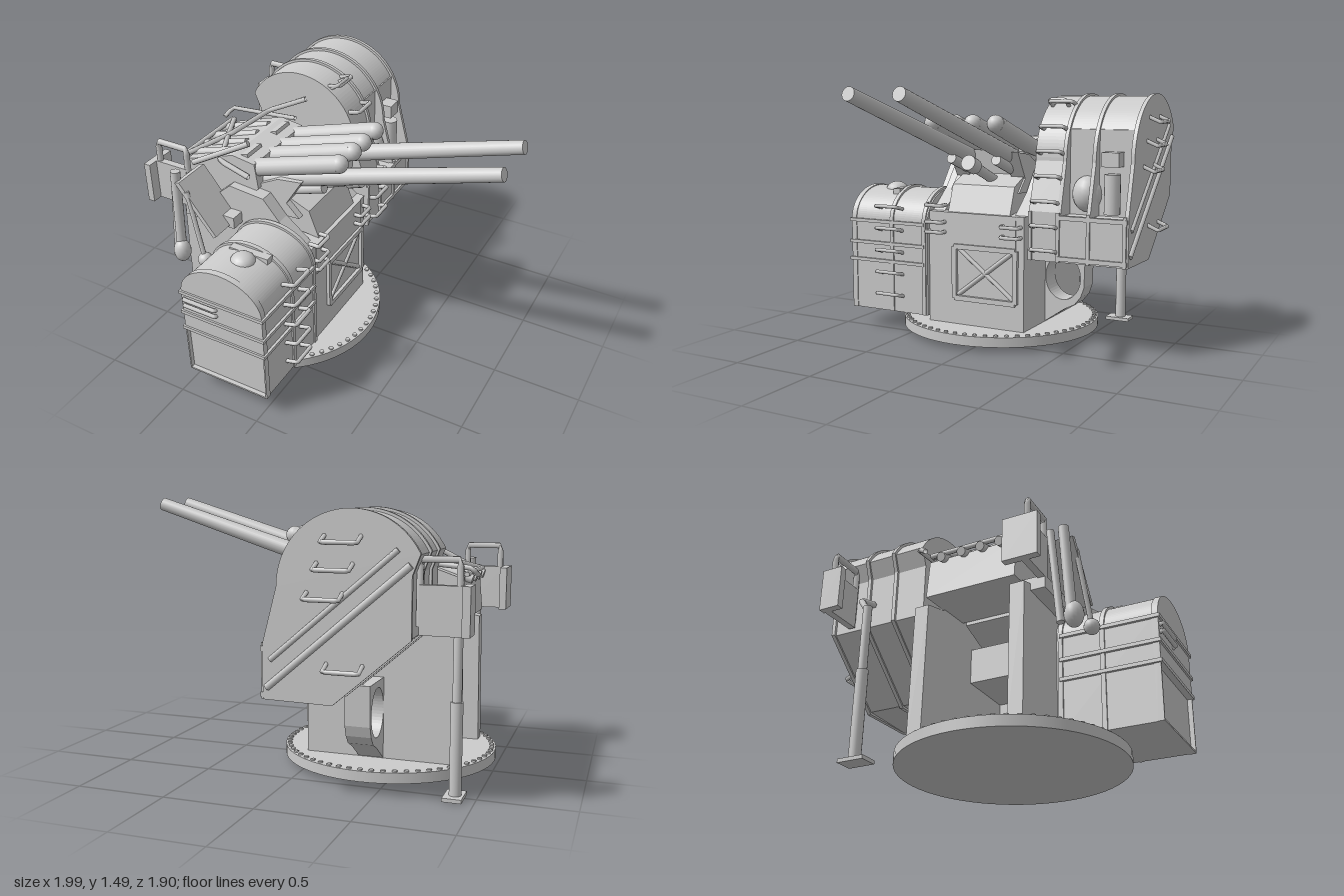
import * as THREE from 'three';

const mat = new THREE.MeshStandardMaterial({ color: 0xcccccc, side: THREE.DoubleSide });
const V = (x, y, z) => new THREE.Vector3(x, y, z);

export function createModel() {
  const root = new THREE.Group();
  const add = (name, geo) => {
    const m = new THREE.Mesh(geo, mat);
    m.name = name;
    root.add(m);
    return m;
  };
  // box given by its minimum and maximum corners
  const box = (name, x0, x1, y0, y1, z0, z1) => {
    const m = add(name, new THREE.BoxGeometry(x1 - x0, y1 - y0, z1 - z0));
    m.position.set((x0 + x1) / 2, (y0 + y1) / 2, (z0 + z1) / 2);
    return m;
  };
  // rod from point a to point b
  const rod = (name, a, b, ra, rb = ra, seg = 16) => {
    const d = b.clone().sub(a);
    const m = add(name, new THREE.CylinderGeometry(rb, ra, d.length(), seg));
    m.position.copy(a).addScaledVector(d, 0.5);
    m.quaternion.setFromUnitVectors(V(0, 1, 0), d.normalize());
    return m;
  };
  const ball = (name, x, y, z, r, sy = 1) => {
    const m = add(name, new THREE.SphereGeometry(r, 16, 12));
    m.position.set(x, y, z);
    m.scale.y = sy;
    return m;
  };
  // bent bar through a list of points
  const bar = (name, pts, r = 0.012) => {
    const path = new THREE.CurvePath();
    for (let i = 1; i < pts.length; i++) path.add(new THREE.LineCurve3(pts[i - 1], pts[i]));
    return add(name, new THREE.TubeGeometry(path, (pts.length - 1) * 6, r, 6));
  };
  // U-shaped grip: a and b on the surface, out is the stand-off
  const grip = (name, a, b, out) => bar(name, [a, a.clone().add(out), b.clone().add(out), b]);
  // outline in x,y extruded from z0 to z1
  const slab = (name, shape, z0, z1) => {
    const m = add(name, new THREE.ExtrudeGeometry(shape, { depth: z1 - z0, bevelEnabled: false, curveSegments: 24 }));
    m.position.z = z0;
    return m;
  };
  const poly = (p) => new THREE.Shape(p.map(([x, y]) => new THREE.Vector2(x, y)));

  // turntable with bolts
  rod('baseDisc', V(-0.385, 0.03, 0.09), V(-0.385, 0.088, 0.09), 0.607, 0.607, 64);
  for (let i = 0; i < 60; i++) {
    const a = i / 60 * Math.PI * 2, x = -0.385 + 0.585 * Math.cos(a), z = 0.09 + 0.585 * Math.sin(a);
    rod('baseBolt', V(x, 0.08, z), V(x, 0.097, z), 0.014, 0.014, 6);
  }

  // pedestal: two cheeks and a front plate, open at the rear
  const cheek = [[-0.86, 0.08], [0, 0.08], [0, 0.72], [-0.2, 0.88], [-0.3, 1.0], [-0.52, 1.02], [-0.7, 0.86], [-0.85, 0.82]];
  for (const z of [-0.25, 0.3]) slab('pedestalCheek', poly(cheek), z, z + 0.08);
  box('pedestalFront', -0.06, 0, 0.08, 0.76, -0.25, 0.38);
  box('pedestalCap', -0.4, 0.005, 0.56, 0.76, -0.2, 0.33);
  for (const z of [-0.2, 0.2]) box('panelPost', 0, 0.02, 0.25, 0.56, z - 0.015, z + 0.015);
  for (const y of [0.25, 0.56]) box('panelRail', 0, 0.02, y - 0.015, y + 0.015, -0.2, 0.2);
  for (const s of [-1, 1]) rod('panelBrace', V(0, 0.27, -0.18 * s), V(0, 0.55, 0.18 * s), 0.014, 0.014, 6);
  for (const [z, y] of [[-0.17, 0.64], [-0.17, 0.7], [0.33, 0.64], [0.33, 0.7], [0.33, 0.8]])
    grip('shoulderGrip', V(-0.01, y, z - 0.06), V(-0.01, y, z + 0.05), V(0.06, 0, 0));
  box('trunnionPost', -0.42, -0.32, 0.8, 1.07, -0.24, -0.2);

  // bracket with a round opening, carrying the large cabin
  const br = poly([[0.25, 0.09], [0.38, 0.18], [0.44, 0.21], [0.48, 0.26], [0.5, 0.32], [0.505, 0.54], [0.24, 0.54]]);
  const hole = new THREE.Path();
  hole.absellipse(0.365, 0.37, 0.112, 0.135, 0, Math.PI * 2, false);
  br.holes.push(hole);
  const bracket = slab('cabinBracket', br, 0, 0.14);
  bracket.rotation.y = Math.PI / 2;
  bracket.position.set(-0.44, 0, 0);

  // gun cradle and breech
  slab('cradle', poly([[-0.5, 0.86], [-0.25, 0.78], [-0.02, 0.76], [-0.08, 0.92], [-0.22, 0.98], [-0.2, 1.12], [-0.5, 1.05]]), -0.15, 0.26);
  slab('breechHousing', poly([[-0.86, 0.86], [-0.5, 0.88], [-0.36, 1.02], [-0.38, 1.17], [-0.52, 1.19], [-0.84, 1.08]]), -0.18, 0.33);
  for (const z of [-0.13, 0.24]) slab('cradleArm', poly([[-0.4, 1.02], [-0.28, 0.87], [-0.12, 0.88], [-0.2, 0.96], [-0.1, 1.12], [-0.25, 1.1]]), z - 0.03, z + 0.06);
  for (const z of [-0.07, 0.225]) {
    rod('barrel', V(-0.45, 1.01, z), V(0.988, 1.457, z), 0.053, 0.037, 24);
    rod('bufferTube', V(-0.32, 0.97, z), V(0, 1.08, z), 0.03);
    const block = box('breechBlock', -0.7, -0.42, 1.02, 1.16, z - 0.07, z + 0.07);
    block.rotation.z = 0.3;
  }
  for (const z of [-0.13, 0.015, 0.13, 0.275]) {
    rod('recoilCylinder', V(-0.5, 1.09, z), V(0.12, 1.29, z), 0.052, 0.05, 20);
    ball('recoilCylinderEnd', 0.12, 1.29, z, 0.05);
  }
  // sight tube
  rod('sightTube', V(-0.3, 0.9, 0.04), V(0.1, 1.06, 0.04), 0.03);
  rod('sightHead', V(0.05, 1.04, 0.04), V(0.13, 1.07, 0.04), 0.045);
  // loading trays and bars over the breech
  for (const z of [-0.09, 0.03, 0.14, 0.25]) rod('loadingTray', V(-0.88, 1.07, z), V(-0.55, 1.17, z), 0.025);
  for (const x of [-0.86, -0.74, -0.64]) rod('trayCrossbar', V(x, 1.1, -0.16), V(x, 1.1, 0.3), 0.014, 0.014, 8);
  bar('upperBar', [V(-0.85, 1.1, 0.3), V(-0.7, 1.16, 0.08), V(-0.62, 1.2, -0.2), V(-0.4, 1.3, -0.26)], 0.016);
  bar('lowerBar', [V(-0.85, 1.1, -0.16), V(-0.72, 1.15, 0.08), V(-0.6, 1.14, 0.34), V(-0.4, 1.1, 0.36)], 0.016);
  bar('sideRail', [V(-0.92, 1.1, -0.16), V(-0.9, 1.14, -0.22), V(-0.45, 1.18, -0.22)], 0.014);

  // large cabin with arched roof; open cuts the window recess out of the +x side
  const roof = (grow, open) => {
    const s = poly([[0, 0.52]]);
    if (open) {
      s.lineTo(0, 0.78);
      s.lineTo(-0.13, 0.78);
      s.lineTo(-0.13, 1.26);
    } else s.lineTo(0, 0.8);
    s.absarc(-0.45, 1.08, 0.37 + grow, open ? 0.525 : 0, Math.PI * 0.849, false);
    s.lineTo(-0.74 - grow, 1.15);
    s.lineTo(-0.74 - grow, 0.85);
    s.lineTo(-0.36, 0.52 - grow);
    return s;
  };
  slab('largeCabinFront', roof(-0.008, false), -0.475, -0.28);
  slab('largeCabinRear', roof(-0.008, true), -0.86, -0.475);
  for (const z of [-0.475, -0.65, -0.87]) slab('largeCabinRim', roof(0.006, false), z, z + 0.022);
  for (const y of [0.53, 0.76]) box('largeCabinRail', -0.02, 0.014, y, y + 0.025, -0.865, -0.46);
  for (const z of [-0.3, -0.47, -0.65, -0.86]) box('largeCabinRib', -0.02, 0.012, 0.52, 0.8, z, z + 0.02);
  for (let i = 0; i < 7; i++) {
    const y = 0.57 + i * 0.137;
    const x = y > 1.08 ? -0.45 + Math.sqrt(0.137 - (y - 1.08) ** 2) : Math.min(0, (0.8 - y) * 0.29);
    grip('largeCabinRung', V(x - 0.02, y, -0.31), V(x - 0.02, y, -0.45), V(0.075, 0.02, 0));
  }
  // operator station inside the recess
  rod('stationCylinder', V(-0.08, 0.8, -0.745), V(-0.08, 1.02, -0.745), 0.045);
  box('stationHood', -0.13, -0.05, 1.06, 1.14, -0.79, -0.69);
  ball('stationSeat', -0.13, 0.9, -0.58, 0.085, 1.2);
  // back face: frames and grips
  rod('backBrace', V(-0.02, 0.58, -0.87), V(-0.74, 1.2, -0.87), 0.018, 0.018, 8);
  rod('backBrace', V(-0.04, 0.72, -0.87), V(-0.68, 1.27, -0.87), 0.014, 0.014, 8);
  for (const [x, y] of [[-0.41, 1.33], [-0.37, 1.2], [-0.32, 1.06], [-0.42, 0.72]])
    grip('backGrip', V(x - 0.09, y, -0.86), V(x + 0.09, y, -0.86), V(0, -0.03, -0.07));
  grip('roofGrip', V(-0.26, 1.38, -0.41), V(-0.26, 1.38, -0.31), V(0.06, 0.04, 0));

  // rear plates with a hoop on top, one each side
  for (const [z, z0, z1] of [[-0.73, -0.76, -0.64], [0.44, 0.33, 0.52]]) {
    box('rearPlate', -0.995, -0.955, 0.86, 1.1, z0, z1);
    box('rearPlateArm', -0.96, -0.75, 0.86, 1.1, z - 0.02, z + 0.02);
    bar('rearHoop', [V(-0.94, 1.08, z), V(-0.94, 1.22, z), V(-0.75, 1.22, z), V(-0.75, 0.9, z)], 0.018);
  }
  // support post with foot
  rod('supportPost', V(-0.895, 0.01, -0.52), V(-0.895, 0.5, -0.52), 0.032);
  rod('supportPostTop', V(-0.895, 0.5, -0.52), V(-0.895, 0.87, -0.52), 0.024);
  box('postFoot', -0.94, -0.84, 0, 0.02, -0.59, -0.44);
  bar('postLink', [V(-0.895, 0.85, -0.52), V(-0.85, 0.95, -0.6), V(-0.74, 0.98, -0.6)], 0.018);

  // small cabin: arched body, slightly recessed lower front
  const arch = (w, top) => {
    const s = poly([[-0.225 - w, 0.12], [-0.225 + w, 0.12], [-0.225 + w, 0.68]]);
    s.absellipse(-0.225, 0.68, w, top - 0.68, 0, Math.PI, false);
    return s;
  };
  slab('smallCabin', arch(0.25, 0.87), 0.38, 0.905);
  const face = arch(0.255, 0.875);
  face.holes.push(poly([[-0.472, 0.13], [0.022, 0.13], [0.022, 0.42], [-0.472, 0.42]]));
  slab('smallCabinFace', face, 0.895, 0.93);
  for (const z of [0.39, 0.62]) slab('smallCabinRim', arch(0.258, 0.885), z, z + 0.025);
  for (const y of [0.42, 0.53, 0.665]) box('smallCabinBand', -0.49, 0.04, y, y + 0.02, 0.4, 0.94);
  for (let i = 0; i < 5; i++) {
    const y = 0.22 + i * 0.135;
    grip('smallCabinRung', V(0.02, y, 0.56), V(0.02, y, 0.71), V(0.075, 0.02, 0));
  }
  ball('hatch', -0.2, 0.85, 0.74, 0.07, 0.75);
  box('hatchBase', -0.32, -0.08, 0.83, 0.87, 0.64, 0.69);
  for (const y of [0.59, 0.63]) grip('frontGrip', V(-0.46, y, 0.92), V(-0.26, y, 0.92), V(0, 0.01, 0.025));

  // side control stand between breech and small cabin, behind a leaning plate
  slab('controlPlate', poly([[-0.73, 1.09], [-0.5, 0.8], [-0.48, 0.815], [-0.7, 1.1]]), 0.36, 0.59);
  box('controlBracket', -0.78, -0.45, 0.8, 0.87, 0.32, 0.46);
  rod('hangingArm', V(-0.75, 1.14, 0.55), V(-0.74, 0.66, 0.58), 0.028);
  ball('hangingArmEnd', -0.73, 0.64, 0.59, 0.05, 1.4);
  rod('armGuide', V(-0.8, 1.1, 0.5), V(-0.8, 0.57, 0.55), 0.02);
  rod('controlLever', V(-0.66, 1.05, 0.58), V(-0.56, 0.67, 0.61), 0.014, 0.014, 8);
  ball('leverKnob', -0.555, 0.65, 0.61, 0.042);
  rod('aimingHandle', V(-0.74, 1.12, 0.4), V(-0.4, 1.3, 0.34), 0.016, 0.016, 8);

  return root;
}
